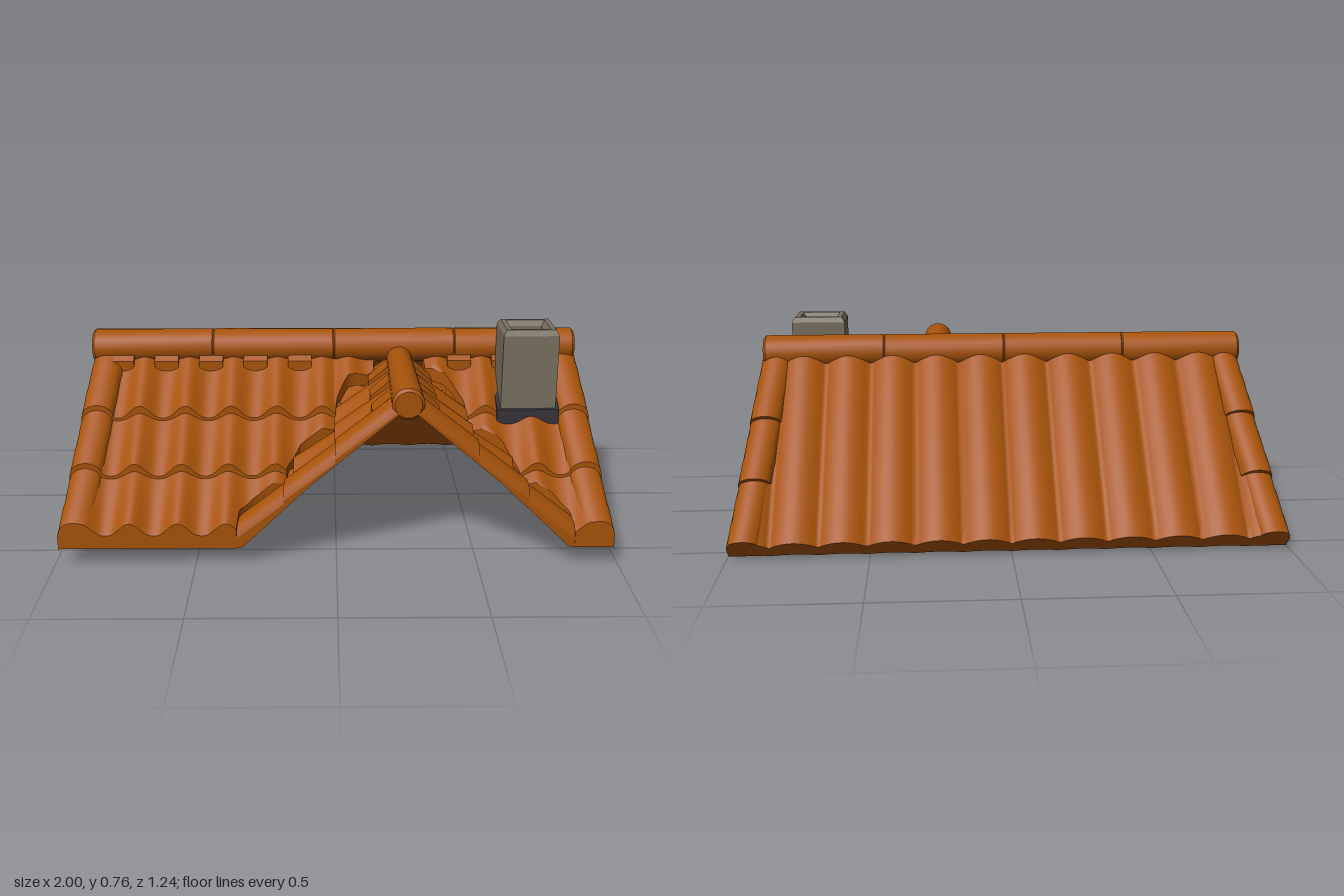
import * as THREE from 'three';
import { toCreasedNormals } from 'three/addons/utils/BufferGeometryUtils.js';

const clay = new THREE.MeshStandardMaterial({ color: 0xa7530a });
clay.name = 'terracotta';
const stone = new THREE.MeshStandardMaterial({ color: 0x787060 });
stone.name = 'chimney stone';
const lead = new THREE.MeshStandardMaterial({ color: 0x37333b });
lead.name = 'dark flashing';

const PITCH = 0.17, GX = 0.245, EAVE = 0.063;
const lerp = THREE.MathUtils.lerp;

function add(parent, name, geometry, material = clay) {
  const mesh = new THREE.Mesh(geometry, material);
  mesh.name = name;
  parent.add(mesh);
  return mesh;
}

// rolled tile profile: a round roll and a flatter pan per pitch
const wave = (a, phase) =>
  0.044 * Math.pow(0.5 + 0.5 * Math.cos((2 * Math.PI * (Math.abs(a) - phase)) / PITCH), 1.3);
// barrel profile: broad arcs meeting in seams
const arc = (a, phase) => Math.pow(Math.abs(Math.cos((Math.PI * (Math.abs(a) - phase)) / PITCH)), 0.8);

// A bent slab on a slope: x = across, z = distance out from the ridge.
// Square slopes are offset along their normal, the others straight up and trimmed at the eave.
// The across range is trimmed to lo(s)..hi(s).
function slab(slope, s0, s1, lo, hi, top, bottom, nu) {
  const g = new THREE.BoxGeometry(1, 1, 1, nu, 1, 16);
  const p = g.attributes.position;
  const k = Math.hypot(1, slope.m);
  const a0 = Math.min(lo(s0), lo(s1)), a1 = Math.max(hi(s0), hi(s1));
  for (let i = 0; i < p.count; i++) {
    const u = p.getX(i) + 0.5, t = p.getZ(i) + 0.5;
    const s = lerp(s0, s1, t);
    const a = THREE.MathUtils.clamp(lerp(a0, a1, u), lo(s), hi(s));
    const h = p.getY(i) > 0 ? top(a, t, s) : bottom(a, t, s);
    const y = slope.y - slope.m * s;
    if (slope.square) p.setXYZ(i, a, y + h / k, s + (h * slope.m) / k);
    else p.setXYZ(i, a, Math.max(y + h, EAVE), s);
  }
  g.computeVertexNormals();
  return g;
}

// one length of the rounded edge tile
function verge(parent, name, slope, s0, s1, lo, hi, depth, lift) {
  const top = (a, t, s) => {
    const u = (a - lo(s)) / (hi(s) - lo(s));
    return 0.05 * Math.sqrt(Math.max(0, 1 - (2 * u - 1) ** 2)) - lift * (1 - t);
  };
  add(parent, name, slab(slope, s0, s1, lo, hi, top, (a, t, s) => -depth(s), 16));
}

// half width of the notch cut for the cross gable, stepped by whole tiles
const NOTCH = [[0, 0.09], [0.1, 0.1], [0.13, 0.19], [0.2, 0.24], [0.3, 0.25], [0.33, 0.37],
  [0.42, 0.42], [0.47, 0.43], [0.5, 0.54], [0.55, 0.59], [0.63, 0.6]];
function notch(s) {
  for (let i = 1; i < NOTCH.length; i++) {
    const [z0, w0] = NOTCH[i - 1], [z1, w1] = NOTCH[i];
    if (s <= z1) return lerp(w0, w1, Math.max(0, (s - z0) / (z1 - z0)));
  }
  return 0.6;
}

// a run of ridge tiles along +x with chamfered ends and a hairline groove at each joint
function ridge(parent, name, x0, x1, count, r0, r1) {
  const length = x1 - x0, c = 0.01;
  const points = [[0, 0], [r0 - c, 0], [r0, c]];
  for (let i = 1; i < count; i++) {
    const y = (length * i) / count, r = lerp(r0, r1, i / count);
    points.push([r, y - 0.004], [r - 0.003, y], [r, y + 0.004]);
  }
  points.push([r1, length - c], [r1 - c, length], [0, length]);
  const g = new THREE.LatheGeometry(points.map(([x, y]) => new THREE.Vector2(x, y)), 20);
  g.rotateZ(-Math.PI / 2);
  g.translate(x0, 0, 0);
  add(parent, name, toCreasedNormals(g, 0.6));
}

function createModel() {
  const roof = new THREE.Group();
  roof.name = 'tiledRoof';

  // back slope: long barrel tiles, with three edge tiles at each end
  const back = new THREE.Group();
  back.name = 'backSlope';
  back.rotation.y = Math.PI;
  roof.add(back);
  const backSlope = { y: 0.63, m: 1.0, square: true };
  const backOut = s => 0.925 + 0.125 * s;
  add(back, 'backTiles', slab(backSlope, 0, 0.588, s => 0.08 - backOut(s), s => backOut(s) - 0.08,
    a => 0.036 * arc(a, 0.085), a => -0.06 + 0.008 * arc(a, 0.085), 160));
  for (const [s0, s1] of [[0.0, 0.225], [0.205, 0.41], [0.39, 0.587]]) {
    const depth = () => 0.06;
    verge(back, 'backVerge', backSlope, s0, s1, s => backOut(s) - 0.12, backOut, depth, 0.018);
    verge(back, 'backVerge', backSlope, s0, s1, s => -backOut(s), s => 0.12 - backOut(s), depth, 0.018);
  }

  // front slope, either side of the cross gable; the lowest course is flat beneath
  const front = new THREE.Group();
  front.name = 'frontSlope';
  roof.add(front);
  const frontSlope = { y: 0.64, m: 0.85, square: false };
  const frontOut = s => 0.925 + 0.095 * s;
  [[0.02, 0.255], [0.235, 0.44], [0.42, 0.62]].forEach(([s0, s1], r) => {
    const top = (a, t) => wave(a, 0.73) * lerp(0.6, 1.05, t) - 0.012 * (1 - t);
    const bottom = (a, t) => (r === 2 ? lerp(-0.05, -0.07, t) : wave(a, 0.73) * 0.6 + lerp(-0.06, -0.036, t));
    const depth = () => 0.085;
    add(front, 'frontTilesRight',
      slab(frontSlope, s0, s1, s => 0.08 - frontOut(s), s => GX - notch(s), top, bottom, 120));
    add(front, 'frontTilesLeft',
      slab(frontSlope, s0, s1, s => GX + notch(s), s => frontOut(s) - 0.08, top, bottom, 70));
    verge(front, 'frontVerge', frontSlope, s0, s1, s => frontOut(s) - 0.12, frontOut, depth, 0.022);
    verge(front, 'frontVerge', frontSlope, s0, s1, s => -frontOut(s), s => 0.12 - frontOut(s), depth, 0.022);
  });
  // top course tiles running on beneath the gable
  for (const [s1, lo, hi] of [[0.25, 0, 0.155], [0.21, 0.325, 0.42]]) {
    add(front, 'hiddenTiles',
      slab(frontSlope, s1 - 0.06, s1, () => lo, () => hi, () => -0.02, () => -0.035, 1));
  }

  // mortar tabs closing the pans below the ridges
  const tab = (parent, slope, a, s0, s1) =>
    add(parent, 'ridgeFiller', slab(slope, s0, s1, () => a - 0.045, () => a + 0.045, () => 0.03, () => -0.02, 1));
  for (const x of [-0.815, -0.645, -0.475, -0.305, -0.135, 0.475, 0.645, 0.815]) {
    tab(front, frontSlope, x, 0.03, 0.09);
  }

  // cross gable: two slopes sharing one rule, thin tiles running back under the front slope
  const gableSlope = { y: 0.61, m: 0.85, square: false };
  const gableRows = [[0.01, 0.25, 0.01], [0.23, 0.4, 0.26], [0.38, 0.55, 0.41]];
  for (const side of [-1, 1]) {
    const gable = new THREE.Group();
    gable.name = side > 0 ? 'gableSlopeLeft' : 'gableSlopeRight';
    gable.rotation.y = (side * Math.PI) / 2;
    gable.position.x = GX;
    roof.add(gable);
    // across runs along -side * z, so order the ends to match
    const span = (z0, z1) => (side > 0 ? [() => -z1, () => -z0] : [() => z0, () => z1]);
    for (const [s0, s1, z0] of gableRows) {
      add(gable, 'gableTiles', slab(gableSlope, s0, s1, ...span(z0, 0.55),
        (a, t) => wave(a, 0.56) * lerp(0.6, 1.05, t) - 0.01 * (1 - t), (a, t) => lerp(-0.035, -0.012, t), 48));
    }
    // the edge tiles thicken towards the eave
    const depth = s => Math.max(0.022, 0.12 * s - 0.017);
    for (const [s0, s1] of [[0.01, 0.25], [0.23, 0.43], [0.41, 0.61]]) {
      verge(gable, 'gableVerge', gableSlope, s0, s1, ...span(0.5, 0.618), depth, 0.014);
    }
    for (const z of [0.135, 0.305, 0.475]) tab(gable, gableSlope, -side * z, 0.02, 0.12);
  }

  // ridges
  const mainRidge = new THREE.Group();
  mainRidge.name = 'mainRidge';
  mainRidge.position.set(0, 0.635, 0.01);
  ridge(mainRidge, 'ridgeTiles', -0.93, 0.92, 4, 0.065, 0.065);
  roof.add(mainRidge);
  const gableRidge = new THREE.Group();
  gableRidge.name = 'gableRidge';
  gableRidge.rotation.y = -Math.PI / 2;
  gableRidge.position.set(GX, 0.597, 0);
  ridge(gableRidge, 'gableRidgeTile', 0.03, 0.618, 1, 0.047, 0.057);
  roof.add(gableRidge);

  // chimney: hollow bevelled flue rising from a dark flashing sunk into the slope
  const chimney = new THREE.Group();
  chimney.name = 'chimney';
  roof.add(chimney);
  const square = (w, d, T) => new T([[-1, -1], [1, -1], [1, 1], [-1, 1]]
    .map(([x, y]) => new THREE.Vector2((x * w) / 2, (y * d) / 2)));
  const outline = square(0.181, 0.161, THREE.Shape);
  outline.holes.push(square(0.145, 0.125, THREE.Path));
  const flue = new THREE.ExtrudeGeometry(outline, {
    depth: 0.28, bevelEnabled: true, bevelThickness: 0.02, bevelSize: 0.012, bevelSegments: 1,
  });
  flue.rotateX(-Math.PI / 2);
  add(chimney, 'chimneyFlue', flue, stone).position.set(0.717, 0.458, 0.17);
  add(chimney, 'flueFloor', new THREE.BoxGeometry(0.14, 0.02, 0.12), stone).position.set(0.717, 0.66, 0.17);
  add(chimney, 'chimneyFlashing', slab(frontSlope, 0.07, 0.27, () => 0.602, () => 0.832,
    (a, t) => lerp(-0.04, 0.046, t), (a, t) => lerp(-0.07, -0.05, t), 1), lead);

  return roof;
}

export { createModel };
